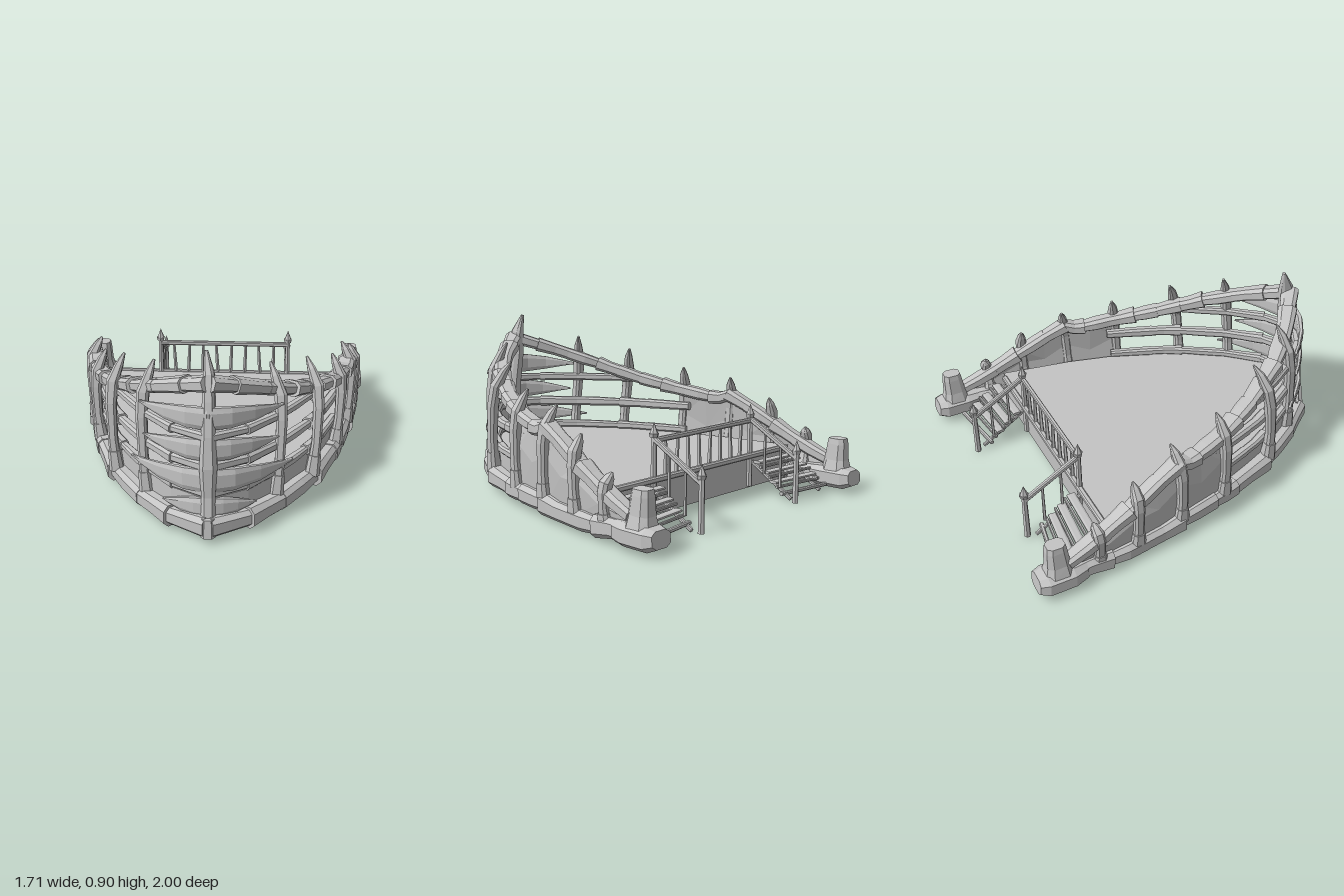
import * as THREE from 'three';

const grey = new THREE.MeshStandardMaterial({ color: 0xc4c4c4, flatShading: true, side: THREE.DoubleSide });
grey.name = 'weathered grey';
const V = (x, y, z) => new THREE.Vector3(x, y, z);

// Half outline of the hull in plan: [z, x], from bow to stern
const PLAN = [[0.95, 0], [0.85, 0.18], [0.68, 0.335], [0.42, 0.5], [0.12, 0.615], [-0.2, 0.695], [-0.5, 0.75], [-0.9, 0.785]];
// Top rail in plan [z, x] and in height [z, y]
const RAIL = [[0.87, 0], [0.69, 0.23], [0.53, 0.378], [0.32, 0.505], [0.08, 0.62], [-0.185, 0.7], [-0.5, 0.75], [-0.83, 0.785]];
const SHEER = [[0.87, 0.765], [0.64, 0.65], [0.5, 0.59], [0.3, 0.52], [0.1, 0.47], [-0.14, 0.43], [-0.21, 0.455], [-0.31, 0.41], [-0.5, 0.31], [-0.69, 0.215], [-0.83, 0.16]];
const DECK_Y = 0.21;

function lookup(table, z) {
  for (let i = 0; i < table.length - 1; i++) {
    const [z0, a] = table[i], [z1, b] = table[i + 1];
    if (z >= z1) return a + (b - a) * Math.min(1, Math.max(0, (z0 - z) / (z0 - z1)));
  }
  return table[table.length - 1][1];
}
const hullX = z => lookup(PLAN, z);
const railX = z => lookup(RAIL, z);
const railY = z => lookup(SHEER, z);

// Chamfered beam swept through points; sizes are [width, height] at each point
function sweep(points, sizes, ref = V(0, 1, 0)) {
  const ring = [[1, 0.55], [0.55, 1], [-0.55, 1], [-1, 0.55], [-1, -0.55], [-0.55, -1], [0.55, -1], [1, -0.55]];
  const n = ring.length, pos = [], index = [];
  points.forEach((p, i) => {
    const t = points[Math.min(i + 1, points.length - 1)].clone().sub(points[Math.max(i - 1, 0)]).normalize();
    const side = ref.clone().cross(t).normalize(), up = t.clone().cross(side);
    for (const [u, v] of ring) {
      const q = p.clone().addScaledVector(side, u * sizes[i][0] / 2).addScaledVector(up, v * sizes[i][1] / 2);
      pos.push(q.x, q.y, q.z);
    }
  });
  for (let i = 0; i < points.length - 1; i++) for (let j = 0; j < n; j++) {
    const a = i * n + j, b = i * n + (j + 1) % n;
    index.push(a, b, b + n, a, b + n, a + n);
  }
  const e = (points.length - 1) * n;
  for (let j = 1; j < n - 1; j++) index.push(0, j + 1, j, e, e + j, e + j + 1);
  return faceted(pos, index);
}

function faceted(pos, index) {
  const g = new THREE.BufferGeometry();
  g.setAttribute('position', new THREE.Float32BufferAttribute(pos, 3));
  g.setIndex(index);
  const flat = g.toNonIndexed();
  flat.computeVertexNormals();
  return flat;
}

export function createModel() {
  const model = new THREE.Group();
  model.name = 'ribbedShipDeck';
  const add = (name, geometry, parent = model) => {
    const m = new THREE.Mesh(geometry, grey);
    m.name = name;
    parent.add(m);
    return m;
  };
  const bar = (name, a, b, w, h, parent) => add(name, sweep([a, b], [[w, h], [w, h]]), parent);

  // Run of overlapping, slightly uneven chunks following a path function of z
  function chunks(name, zs, path, w, h, parent) {
    for (let i = 0; i < zs.length - 1; i++) {
      const a = path(zs[i]), b = path(zs[i + 1]);
      const mid = path((zs[i] + zs[i + 1]) / 2);
      const d = b.clone().sub(a).multiplyScalar(0.05);
      const k = 1 + 0.1 * Math.sin(i * 2.4);
      if (i) a.sub(d);
      add(name, sweep([a, mid, b.add(d)], [[w * k * 1.08, h * k * 1.1], [w, h], [w * k * 0.88, h * k * 0.9]]), parent);
    }
  }

  // Deck body, from the flat bottom up to the floor
  const outline = new THREE.Shape();
  const deckZ = [0.92, 0.83, 0.68, 0.42, 0.12, -0.2, -0.59];
  const deckX = z => Math.max(0, hullX(z) - 0.015);
  deckZ.forEach((z, i) => i ? outline.lineTo(deckX(z), -z) : outline.moveTo(deckX(z), -z));
  [...deckZ].reverse().forEach(z => outline.lineTo(-deckX(z), -z));
  const slab = new THREE.ExtrudeGeometry(outline, { depth: DECK_Y - 0.03, bevelEnabled: false });
  slab.rotateX(-Math.PI / 2).translate(0, 0.03, 0);
  add('deck', slab);

  for (const s of [1, -1]) {
    const half = new THREE.Group();
    half.name = s > 0 ? 'leftSide' : 'rightSide';
    model.add(half);

    // Heavy base beam
    chunks('baseBeam', [0.95, 0.85, 0.68, 0.42, 0.17, 0.02, -0.2, -0.42, -0.62, -0.82],
      z => V(s * hullX(z), z < -0.3 && z > -0.7 ? 0.065 : 0.077, z), 0.1, 0.095, half);

    // Top rail, meeting its mirror image at the bow
    chunks('topRail', [0.87, 0.78, 0.66, 0.53, 0.42, 0.3, 0.18, 0.04, -0.1, -0.21, -0.33, -0.5, -0.64, -0.83],
      z => V(s * railX(z), railY(z), z), 0.09, 0.066, half);

    // Open side rails, running round to the bow spine
    const inner = y => z => V(s * (hullX(z + 0.03) - 0.005), y, z);
    chunks('lowerRail', [0.92, 0.82, 0.66, 0.44, 0.27, 0.06], inner(0.23), 0.045, 0.042, half);
    chunks('middleRail', [0.92, 0.82, 0.66, 0.43, 0.27, 0.04], inner(0.37), 0.05, 0.05, half);
    chunks('upperRail', [0.92, 0.82, 0.66, 0.42, 0.28], inner(0.52), 0.045, 0.042, half);

    // Closed side plating with a folded middle seam
    const zs = [0.08, -0.06, -0.2, -0.33, -0.47, -0.62, -0.82], pos = [], index = [];
    zs.forEach((z, i) => {
      const top = railY(z), fold = 0.1 + (top - 0.1) * (i % 2 ? 0.45 : 0.6);
      pos.push(s * (hullX(z) + 0.01), 0.09, z, s * (hullX(z) + 0.02), fold, z, s * railX(z), top, z);
      if (i) for (const r of [0, 1]) {
        const a = (i - 1) * 3 + r, b = i * 3 + r;
        index.push(a, b, b + 1, a, b + 1, a + 1);
      }
    });
    add('sidePlating', faceted(pos, index), half);

    // Curved ribs: base x and z, tip x, height and z
    for (const [x, z, tx, ty, tz] of [[0.315, 0.69, 0.275, 0.77, 0.605], [0.5, 0.455, 0.455, 0.7, 0.355], [0.635, 0.1, 0.6, 0.6, 0.055],
      [0.71, -0.19, 0.67, 0.56, -0.235], [0.755, -0.455, 0.73, 0.46, -0.465], [0.775, -0.67, 0.76, 0.32, -0.69]]) {
      const H = ty - 0.1;
      const at = (f, out, back) => V(s * (x + out), 0.1 + H * f, z + (tz - z) * back);
      add('rib', sweep([at(0, 0, 0), at(0.3, 0.015, 0.03), at(0.6, 0.02, 0.2), at(0.78, 0.012, 0.42), at(0.91, (tx - x) * 0.45, 0.7), V(s * tx, ty, tz)],
        [[0.06, 0.06], [0.05, 0.048], [0.055, 0.055], [0.056, 0.062], [0.04, 0.042], [0.01, 0.012]], V(1, 0, 0)), half);
      // Collar at the rib foot
      add('ribFoot', sweep([at(0, 0, 0), at(0.18, 0.01, 0)], [[0.075, 0.075], [0.06, 0.06]], V(1, 0, 0)), half);
    }

    // Pointed bow planks: height, plank depth, reach to the side
    for (const [y, h, reach] of [[0.605, 0.11, 0.34], [0.45, 0.11, 0.32], [0.295, 0.12, 0.39], [0.16, 0.1, 0.22]]) {
      const pts = [], sizes = [];
      for (const f of [0, 0.3, 0.6, 0.85, 1]) {
        const x = reach * f;
        pts.push(V(s * x, y - 0.01 * f * f, 0.935 - 0.05 * y - 0.1 * x - 1.5 * x * x));
        sizes.push([0.045 * (1 - 0.7 * f), Math.max(0.008, h * (1 - f ** 2.2))]);
      }
      add('bowPlank', sweep(pts, sizes), half);
    }

    // Stern foot and post
    add('sternFoot', sweep([V(s * 0.77, 0.075, -0.75), V(s * 0.775, 0.075, -0.82), V(s * 0.775, 0.075, -0.95), V(s * 0.775, 0.08, -0.995)],
      [[0.11, 0.1], [0.15, 0.11], [0.155, 0.11], [0.12, 0.08]]), half);
    add('sternPost', sweep([V(s * 0.775, 0.11, -0.885), V(s * 0.775, 0.17, -0.885), V(s * 0.775, 0.255, -0.89), V(s * 0.775, 0.285, -0.89)],
      [[0.13, 0.14], [0.1, 0.115], [0.085, 0.1], [0.075, 0.09]], V(0, 0, 1)), half);

    // Stair treads with round bars between them
    [-0.645, -0.7, -0.75].forEach((z, i) => {
      const y = 0.175 - i * 0.045;
      bar('stairTread', V(s * 0.38, y, z), V(s * 0.7, y, z - 0.012 - i * 0.012), 0.046, 0.016, half);
      bar('stairBar', V(s * 0.37, y - 0.02, z - 0.03), V(s * 0.71, y - 0.02, z - 0.045 - i * 0.013), 0.014, 0.014, half);
    });
    bar('lowestBar', V(s * 0.37, 0.035, -0.81), V(s * 0.7, 0.04, -0.865), 0.022, 0.02, half);
    for (const x of [0.4, 0.67]) bar('stairStringer', V(s * x, 0.17, -0.6), V(s * x, 0.01, -0.85), 0.018, 0.02, half);
    const knob = add('barKnob', new THREE.IcosahedronGeometry(0.018, 0), half);
    knob.position.set(s * 0.67, 0.07, -0.82);

    // Stair posts with pointed finials, and the sloping handrails
    for (const [z, y0, y1] of [[-0.595, 0.04, 0.42], [-0.89, 0.0, 0.265]]) {
      const post = add('stairPost', new THREE.CylinderGeometry(0.014, 0.017, y1 - y0, 6), half);
      post.position.set(s * 0.38, (y0 + y1) / 2, z);
      const collar = add('postCollar', new THREE.CylinderGeometry(0.026, 0.02, 0.02, 6), half);
      collar.position.set(s * 0.38, y1, z);
      const tip = add('postFinial', new THREE.ConeGeometry(0.022, 0.055, 6), half);
      tip.position.set(s * 0.38, y1 + 0.036, z);
    }
    bar('stairHandrail', V(s * 0.38, 0.405, -0.595), V(s * 0.38, 0.235, -0.89), 0.024, 0.026, half);
    for (const f of [0.33, 0.67]) {
      const b = add('stairBaluster', new THREE.CylinderGeometry(0.007, 0.009, 0.22, 5), half);
      b.position.set(s * 0.38, 0.29 - 0.17 * f, -0.595 - 0.295 * f);
    }
  }

  // Stern railing
  bar('sternRailTop', V(-0.38, 0.395, -0.595), V(0.38, 0.395, -0.595), 0.024, 0.026);
  for (let i = 1; i < 9; i++) {
    const b = add('sternBaluster', new THREE.CylinderGeometry(0.008, 0.012, 0.2, 5));
    b.position.set(-0.38 + i * 0.76 / 9, 0.295, -0.595);
    b.rotation.z = 0.06 * Math.sin(i * 2);
  }
  bar('deckEdge', V(-0.7, DECK_Y - 0.005, -0.6), V(0.7, DECK_Y - 0.005, -0.6), 0.03, 0.03);

  // Bow spine rising to a hooked point
  add('bowSpine', sweep([V(0, 0.03, 0.93), V(0, 0.22, 0.91), V(0, 0.37, 0.905), V(0, 0.52, 0.89), V(0, 0.68, 0.86), V(0, 0.8, 0.84), V(-0.015, 0.9, 0.81)],
    [[0.075, 0.1], [0.065, 0.09], [0.085, 0.11], [0.065, 0.11], [0.06, 0.105], [0.05, 0.075], [0.018, 0.014]], V(0, 0, 1)));

  // Small stem block at the foot of the bow
  add('stemBlock', sweep([V(0, 0.03, 0.955), V(0, 0.125, 0.955)], [[0.07, 0.085], [0.06, 0.07]], V(0, 0, 1)));

  return model;
}
